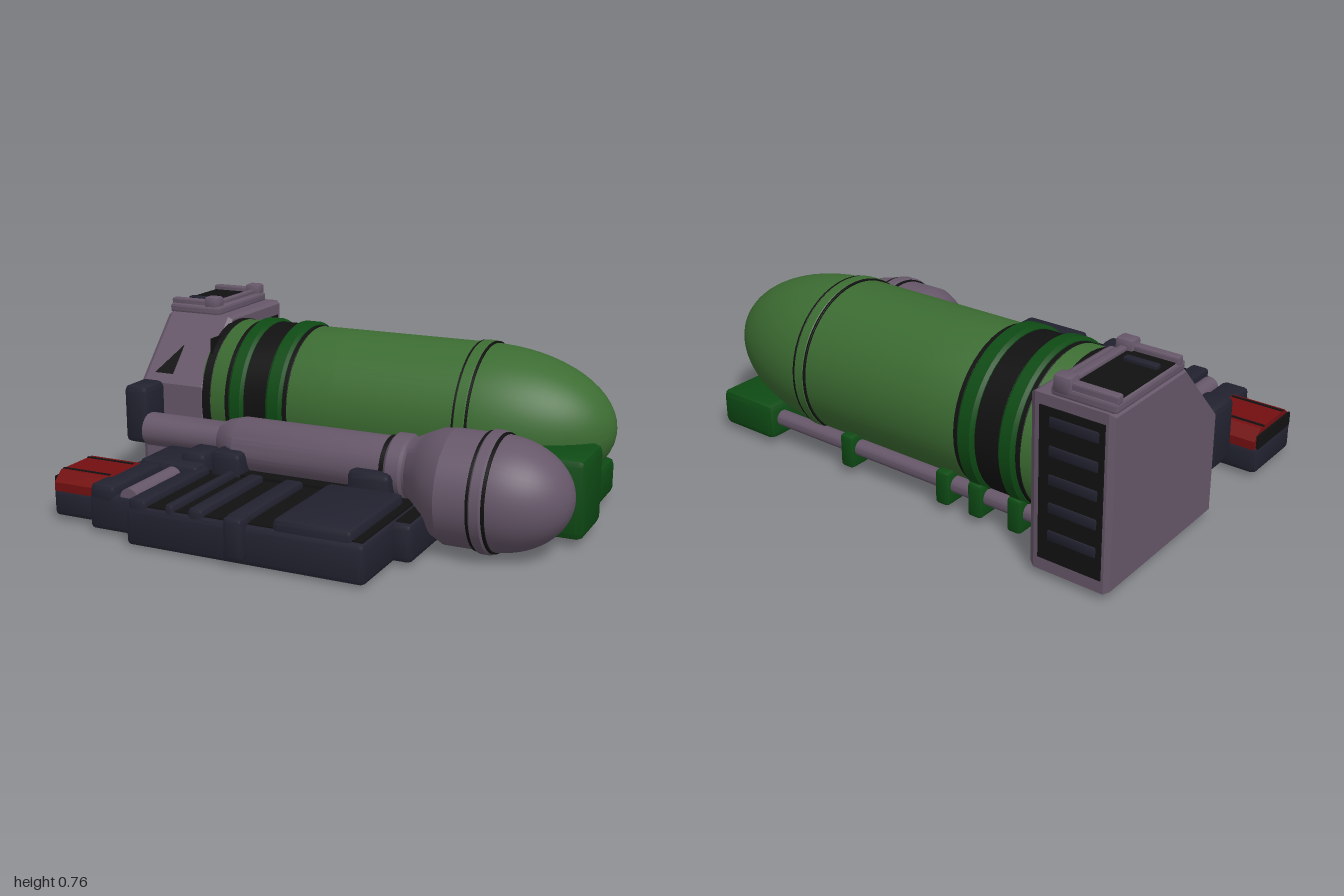
import * as THREE from 'three';
import { RoundedBoxGeometry } from 'three/addons/geometries/RoundedBoxGeometry.js';
import { toCreasedNormals } from 'three/addons/utils/BufferGeometryUtils.js';

const paint = (name, color) => {
  const m = new THREE.MeshStandardMaterial({ color });
  m.name = name;
  return m;
};

export function createModel() {
  const green = paint('tank green', 0x3c6c32);
  const darkGreen = paint('dark green', 0x0e4a14);
  const mauve = paint('mauve', 0x665769);
  const navy = paint('navy', 0x222230);
  const black = paint('black', 0x111111);
  const red = paint('red', 0x730f10);
  const model = new THREE.Group();

  const add = (name, geo, mat, parent = model) => {
    const m = new THREE.Mesh(geo, mat);
    m.name = name;
    parent.add(m);
    return m;
  };
  // box from its limits, with an optional softened edge
  const box = (name, mat, x0, x1, y0, y1, z0, z1, r = 0) => {
    const w = x1 - x0, h = y1 - y0, d = z1 - z0;
    const geo = r ? new RoundedBoxGeometry(w, h, d, 1, r) : new THREE.BoxGeometry(w, h, d);
    return add(name, toCreasedNormals(geo, 0.5), mat).position.set((x0 + x1) / 2, (y0 + y1) / 2, (z0 + z1) / 2);
  };
  // turned body along x from [x, radius] pairs
  const turned = (name, mat, pts, y, z, seg = 48) => {
    const geo = new THREE.LatheGeometry(pts.map(([x, r]) => new THREE.Vector2(r, x)), seg);
    geo.rotateZ(-Math.PI / 2);
    const m = add(name, toCreasedNormals(geo, 0.6), mat);
    m.position.set(0, y, z);
    return m;
  };
  const ring = (name, mat, x0, x1, r, y, z, b = 0.012) =>
    turned(name, mat, [[x0, r - 0.05], [x0, r - b], [x0 + b, r], [x1 - b, r], [x1, r - b], [x1, r - 0.05]], y, z);
  // quarter-ellipse dome profile from x0 outwards
  const dome = (x0, len, r, n = 16) => Array.from({ length: n + 1 }, (_, i) => {
    const a = (i / n) * Math.PI / 2;
    return [x0 + len * Math.sin(a), i === n ? 0 : r * Math.cos(a)];
  });
  // body through circles [x, y, z, radius], which may be off-axis
  const loft = (name, mat, circles, seg = 40) => {
    const pos = [], idx = [];
    circles.forEach(([x, y, z, r], i) => {
      for (let j = 0; j <= seg; j++) {
        const a = (j / seg) * Math.PI * 2;
        pos.push(x, y + r * Math.cos(a), z + r * Math.sin(a));
        if (i && j < seg) {
          const b = i * (seg + 1) + j, p = b - seg - 1;
          idx.push(p, b, p + 1, b, b + 1, p + 1);
        }
      }
    });
    const geo = new THREE.BufferGeometry();
    geo.setAttribute('position', new THREE.Float32BufferAttribute(pos, 3));
    geo.setIndex(idx);
    // turn faces outwards
    for (let i = 0; i < idx.length; i += 3) [idx[i + 1], idx[i + 2]] = [idx[i + 2], idx[i + 1]];
    geo.setIndex(idx);
    return add(name, toCreasedNormals(geo, 0.6), mat);
  };

  // large green tank
  const ty = 0.365, tz = -0.355;
  turned('mainTank', green, [[-0.71, 0], [-0.71, 0.28], [-0.66, 0.305], [-0.1, 0.305], ...dome(0.46, 0.54, 0.305)], ty, tz, 64);
  for (const [a, b] of [[-0.56, -0.49], [-0.385, -0.31]]) ring('tankBand', darkGreen, a, b, 0.322, ty, tz);
  for (const [a, b] of [[-0.58, -0.56], [-0.49, -0.385], [-0.31, -0.29], [-0.69, -0.65]])
    ring('tankGroove', black, a, b, 0.308, ty, tz, 0.002);
  ring('domeBand', green, 0.435, 0.485, 0.314, ty, tz, 0.006);
  for (const x of [0.43, 0.483]) ring('domeSeam', black, x, x + 0.009, 0.312, ty, tz, 0.001);

  // slim tank, its shoulder and feed pipe
  loft('feedPipe', mauve, [
    [-0.89, 0.255, 0.04, 0.001], [-0.89, 0.255, 0.04, 0.07], [-0.53, 0.255, 0.04, 0.07],
    [-0.49, 0.255, 0.055, 0.09], [-0.41, 0.255, 0.085, 0.115], [0.27, 0.255, 0.085, 0.115],
    [0.34, 0.255, 0.085, 0.122], [0.4, 0.25, 0.11, 0.16], [0.47, 0.24, 0.15, 0.205], [0.53, 0.235, 0.17, 0.22]]);
  turned('slimTank', mauve, [[0.5, 0.19], [0.53, 0.22], ...dome(0.7, 0.29, 0.22)], 0.235, 0.17);
  ring('slimTankBand', mauve, 0.665, 0.715, 0.232, 0.235, 0.17, 0.008);
  for (const x of [0.655, 0.714]) ring('slimTankSeam', black, x, x + 0.012, 0.226, 0.235, 0.17, 0.001);
  ring('pipeCollar', mauve, 0.255, 0.33, 0.132, 0.255, 0.085);
  ring('pipeSeam', black, 0.235, 0.256, 0.119, 0.255, 0.085, 0.002);

  // end housing, sloped towards the front
  const side = new THREE.Shape([[0.745, 0.03], [0.06, 0.03], [0.06, 0.43], [0.3, 0.69], [0.745, 0.69]]
    .map(([x, y]) => new THREE.Vector2(x, y)));
  const housing = new THREE.ExtrudeGeometry(side, { depth: 0.28, bevelSize: 0.012, bevelOffset: -0.012, bevelThickness: 0.02, bevelSegments: 1 });
  housing.rotateY(Math.PI / 2);
  add('housing', housing, mauve).position.x = -0.98;
  box('housingPanel', black, -0.683, -0.676, 0.08, 0.63, -0.71, -0.12);
  box('ventPanel', black, -0.97, -0.72, 0.08, 0.65, -0.75, -0.743);
  for (let i = 0; i < 5; i++) box('ventSlat', navy, -0.95, -0.76, 0.16 + i * 0.105, 0.2 + i * 0.105, -0.755, -0.74, 0.005);
  const facet = new THREE.BufferGeometry();
  facet.setAttribute('position', new THREE.Float32BufferAttribute([-0.94, 0.46, -0.027, -0.85, 0.46, -0.027, -0.85, 0.57, -0.128], 3));
  facet.computeVertexNormals();
  const facetMesh = add('slopeFacet', facet, black);
  facetMesh.position.set(0, 0.008, -0.055);

  // housing lid with frame and bolts
  box('lid', mauve, -1, -0.75, 0.685, 0.725, -0.735, -0.31, 0.012);
  box('lidInset', black, -0.99, -0.8, 0.72, 0.728, -0.69, -0.36);
  for (const z of [-0.71, -0.345]) {
    box('lidRail', mauve, -1, -0.77, 0.715, 0.748, z - 0.018, z + 0.018, 0.008);
    box('lidBolt', mauve, -0.83, -0.76, 0.7, 0.765, z - 0.03, z + 0.03, 0.012);
  }
  box('lidRail', mauve, -0.81, -0.78, 0.715, 0.742, -0.7, -0.36, 0.008);
  box('lidBar', navy, -0.97, -0.84, 0.715, 0.742, -0.45, -0.42, 0.006);
  box('pipeMount', navy, -1, -0.885, 0.19, 0.44, -0.08, 0.075, 0.025);

  // green end brackets under the dome
  box('tallBracket', darkGreen, 0.62, 0.985, 0.03, 0.35, -0.25, 0.02, 0.03);
  box('lowBracket', darkGreen, 0.66, 0.935, 0.03, 0.18, -0.64, -0.24, 0.025);

  // rod beneath the tank with its clamps
  turned('lowerRod', mauve, [[-0.7, 0.032], [0.68, 0.032]], 0.11, -0.575, 20);
  for (const x of [0.27, -0.2, -0.35, -0.525]) box('rodClamp', darkGreen, x - 0.03, x + 0.03, 0.035, 0.17, -0.625, -0.525, 0.012);
  for (const x of [-0.35, -0.525]) box('tankFoot', darkGreen, x - 0.035, x + 0.035, 0.04, 0.18, -0.2, -0.08, 0.015);

  // flat machinery base
  box('base', navy, -0.57, 0.41, 0.01, 0.165, 0.19, 0.715, 0.02);
  box('baseDeck', black, -0.55, 0.395, 0.162, 0.17, 0.2, 0.695);
  box('baseStep', navy, 0.38, 0.48, 0.015, 0.165, 0.12, 0.46, 0.02);
  box('baseStepTop', black, 0.41, 0.465, 0.16, 0.167, 0.2, 0.44);
  for (const [a, b] of [[-0.56, -0.48], [-0.4, -0.36], [-0.3, -0.235], [-0.14, -0.06]])
    box('rib', navy, a, b, 0.1, 0.195, 0.24, 0.71, 0.015);
  box('coverBlock', navy, 0.045, 0.36, 0.1, 0.205, 0.24, 0.705, 0.02);
  box('frontTab', navy, -0.135, -0.055, 0.035, 0.195, 0.66, 0.745, 0.015);

  // clamps between base and pipe
  for (const [a, b, y] of [[-0.48, -0.34, 0.265], [0.12, 0.3, 0.265], [-0.62, -0.5, 0.245]])
    box('pipeClamp', navy, a, b, 0.1, y, 0.1, 0.25, 0.025);
  box('pipeSupport', navy, -0.78, -0.5, 0.03, 0.21, 0.06, 0.31, 0.025);
  box('pipeSaddle', black, -0.45, 0.28, 0.1, 0.18, 0.12, 0.24);

  // side unit: cross tube, end block and red casing
  box('sideBlock', navy, -0.79, -0.55, 0.015, 0.165, 0.28, 0.635, 0.02);
  box('sideBlockCap', navy, -0.785, -0.67, 0.12, 0.2, 0.29, 0.635, 0.02);
  const cross = add('crossTube', new THREE.CylinderGeometry(0.04, 0.04, 0.31, 20), mauve);
  cross.rotation.x = Math.PI / 2;
  cross.position.set(-0.61, 0.16, 0.47);
  box('casingBase', navy, -1, -0.77, 0.02, 0.135, 0.285, 0.58, 0.02);
  const hood = new THREE.Shape([[-0.58, 0.125], [-0.285, 0.125], [-0.285, 0.16], [-0.33, 0.2], [-0.535, 0.2], [-0.58, 0.16]]
    .map(([x, y]) => new THREE.Vector2(x, y)));
  const hoodGeo = new THREE.ExtrudeGeometry(hood, { depth: 0.24, bevelEnabled: false });
  hoodGeo.rotateY(Math.PI / 2);
  add('redCasing', hoodGeo, red).position.x = -0.99;
  for (const z of [0.35, 0.51]) box('casingGroove', black, -0.99, -0.77, 0.198, 0.203, z, z + 0.012);
  box('casingEnd', black, -1, -0.99, 0.125, 0.18, 0.3, 0.565);

  return model;
}
